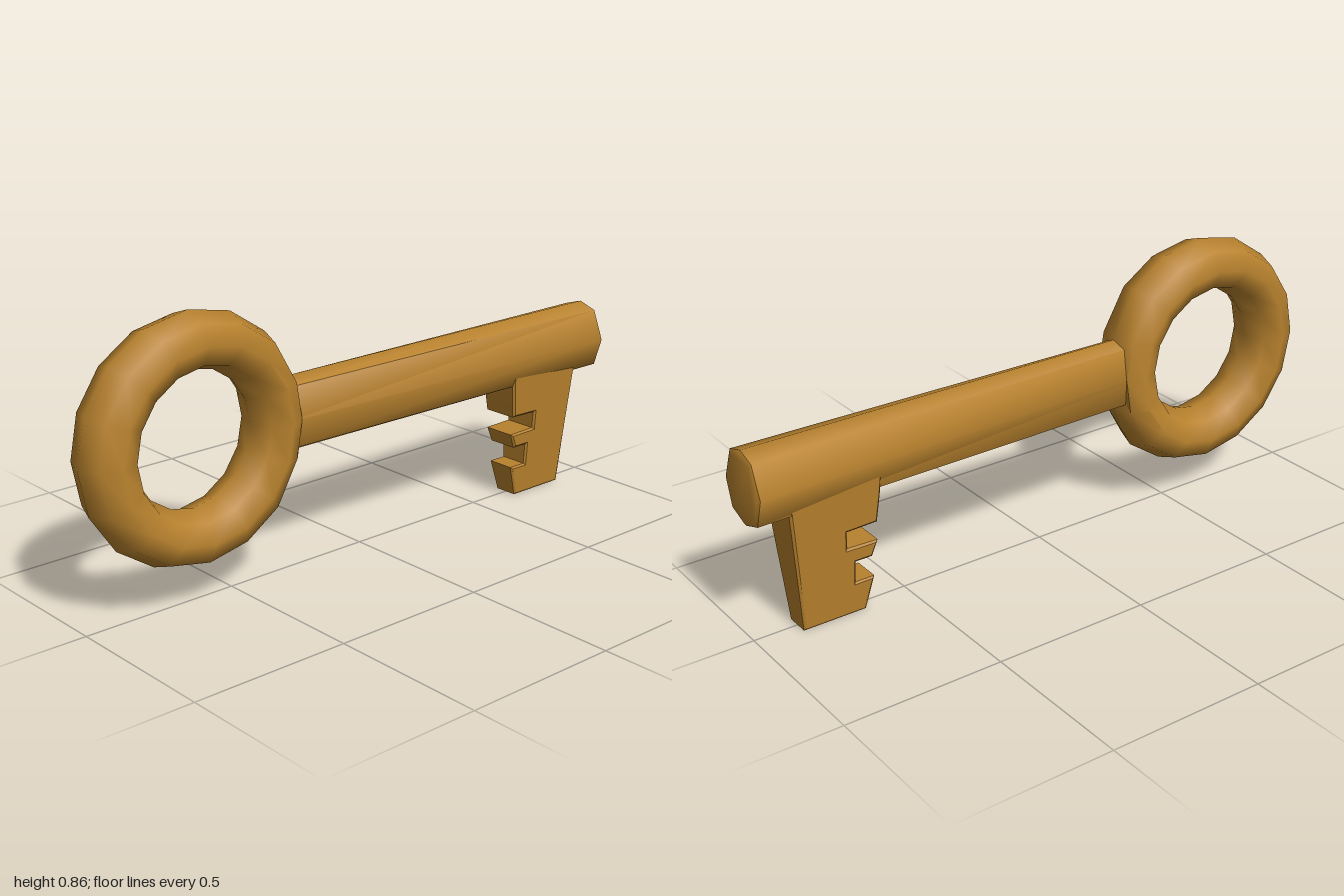
import * as THREE from 'three';
import { toCreasedNormals } from 'three/addons/utils/BufferGeometryUtils.js';

const brass = new THREE.MeshStandardMaterial({ color: 0xb8822e });
brass.name = 'brass';
const AXIS_Y = 0.485;

// Moves every vertex by a rule that edits the vector in place
function reshape(geometry, rule) {
  const pos = geometry.attributes.position;
  const v = new THREE.Vector3();
  for (let i = 0; i < pos.count; i++) {
    v.fromBufferAttribute(pos, i);
    rule(v);
    pos.setXYZ(i, v.x, v.y, v.z);
  }
  return geometry;
}

function part(name, geometry, crease) {
  const mesh = new THREE.Mesh(toCreasedNormals(geometry, crease), brass);
  mesh.name = name;
  return mesh;
}

function outline(points) {
  return new THREE.Shape(points.map(([x, y]) => new THREE.Vector2(x, y)));
}

export function createModel() {
  const group = new THREE.Group();
  group.name = 'key';

  // Handle ring, flattened where it meets the shaft
  const ring = reshape(new THREE.TorusGeometry(0.29, 0.085, 8, 16), (v) => {
    v.z *= 0.1 / 0.085;
    if (v.x > 0.3 && Math.abs(v.y) < 0.16) {
      v.x = Math.min(v.x, 0.342);
      v.y = THREE.MathUtils.clamp(v.y, -0.115, 0.115);
    }
  });
  ring.translate(-0.625, AXIS_Y, 0);
  group.add(part('handleRing', ring, 1.0));

  // Eight-sided shaft, narrower in depth towards the ring
  const half = [[0, 0.6], [0.062, 0.58], [0.1, AXIS_Y], [0.071, 0.394], [0, 0.369]];
  const section = [...half, ...half.slice(1, -1).reverse().map(([z, y]) => [-z, y])];
  const shaft = new THREE.ExtrudeGeometry(outline(section), {
    depth: 1.354, bevelThickness: 0.006, bevelSize: 0.01, bevelOffset: -0.01, bevelSegments: 1,
  });
  shaft.rotateY(Math.PI / 2).translate(-0.36, 0, 0);
  reshape(shaft, (v) => { v.z *= THREE.MathUtils.mapLinear(v.x, -0.28, 1, 0.7, 1); });
  group.add(part('shaft', shaft, 0.95));

  // Toothed bit, thinner towards the bottom
  const teeth = [
    [0.6, 0.45], [0.606, 0.37], [0.616, 0.284], [0.715, 0.281], [0.715, 0.226],
    [0.614, 0.223], [0.633, 0.173], [0.688, 0.173], [0.688, 0.104], [0.626, 0.104],
    [0.655, 0], [0.86, 0], [0.893, 0.37], [0.9, 0.45],
  ];
  const bit = new THREE.ExtrudeGeometry(outline(teeth), {
    depth: 1.8, bevelThickness: 0.1, bevelSize: 0.007, bevelOffset: -0.007, bevelSegments: 1,
  });
  bit.translate(0, 0, -0.9);
  reshape(bit, (v) => { v.z *= THREE.MathUtils.mapLinear(v.y, 0, 0.39, 0.042, 0.071); });
  group.add(part('bit', bit, 0.5));

  return group;
}
